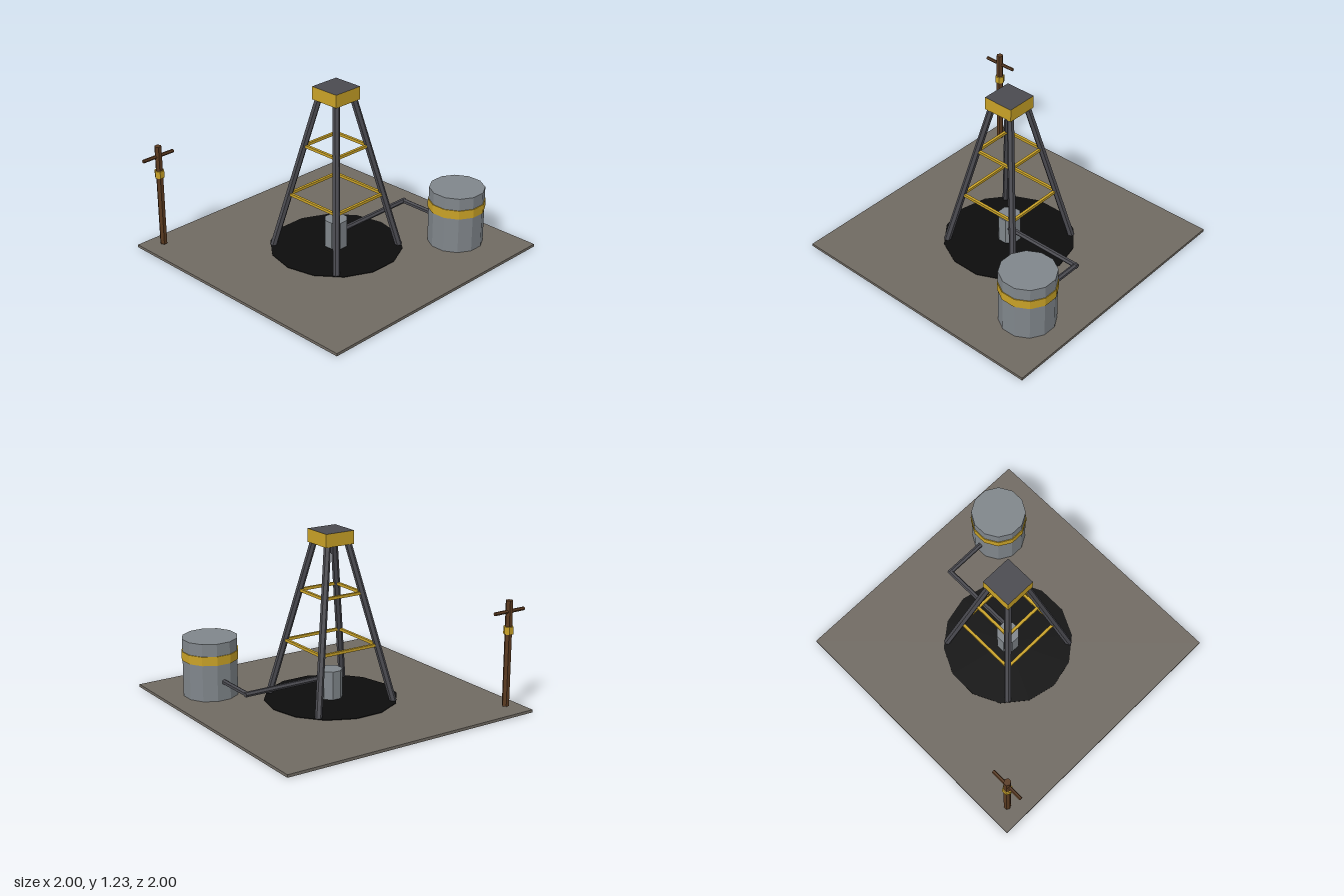
import * as THREE from 'three';

const paint = (name, color) => {
  const m = new THREE.MeshStandardMaterial({ color });
  m.name = name;
  m.flatShading = true;
  return m;
};

export function createModel() {
  const dirt = paint('dirt', 0x706a62);
  const oil = paint('oil black', 0x0c0c0c);
  const steel = paint('dark steel', 0x4a4a50);
  const metal = paint('grey metal', 0x80868b);
  const gold = paint('safety yellow', 0xc9a227);
  const wood = paint('brown wood', 0x5a3a20);

  const model = new THREE.Group();
  model.name = 'oilDerrickSite';

  const add = (name, geometry, material, x = 0, y = 0, z = 0, parent = model) => {
    const mesh = new THREE.Mesh(geometry, material);
    mesh.name = name;
    mesh.position.set(x, y, z);
    parent.add(mesh);
    return mesh;
  };

  // Upright prism between two heights, turned so a flat side faces the front
  const prism = (name, r, y0, y1, sides, material, x, z, parent) => {
    const g = new THREE.CylinderGeometry(r, r, y1 - y0, sides).rotateY(Math.PI / sides);
    return add(name, g, material, x, (y0 + y1) / 2, z, parent);
  };

  // Round bar between two points
  const bar = (name, a, b, r, material, parent, sides = 6) => {
    const from = new THREE.Vector3(...a), to = new THREE.Vector3(...b);
    const dir = to.clone().sub(from);
    const mesh = add(name, new THREE.CylinderGeometry(r, r, dir.length(), sides), material, 0, 0, 0, parent);
    mesh.position.copy(from).add(to).multiplyScalar(0.5);
    mesh.quaternion.setFromUnitVectors(new THREE.Vector3(0, 1, 0), dir.normalize());
    return mesh;
  };

  const group = (name) => {
    const g = new THREE.Group();
    g.name = name;
    model.add(g);
    return g;
  };

  // Ground slab and oil pool
  add('ground', new THREE.BoxGeometry(2, 0.02, 2), dirt, 0, 0.01, 0);
  add('oilPool', new THREE.CylinderGeometry(0.475, 0.475, 0.006, 14).rotateY(Math.PI / 2), oil, 0, 0.021, 0);

  // Derrick: four leaning legs, two rings of rails, cap
  const derrick = group('derrick');
  const footY = 0.02, topY = 1.15, foot = 0.315, top = 0.083;
  for (const sx of [-1, 1]) {
    for (const sz of [-1, 1]) {
      bar('leg', [sx * foot, footY, sz * foot], [sx * top, topY, sz * top], 0.025, steel, derrick);
    }
  }
  for (const y of [0.425, 0.795]) {
    const s = foot + (top - foot) * (y - footY) / (topY - footY);
    for (const side of [-1, 1]) {
      add('railAcross', new THREE.BoxGeometry(2 * s, 0.02, 0.02), gold, 0, y, side * s, derrick);
      add('railAlong', new THREE.BoxGeometry(0.02, 0.02, 2 * s), gold, side * s, y, 0, derrick);
    }
  }
  add('cap', new THREE.BoxGeometry(0.23, 0.094, 0.23), [gold, gold, steel, gold, gold, gold], 0, 1.185, 0, derrick);

  // Wellhead
  prism('wellhead', 0.084, 0.02, 0.23, 8, metal, 0, 0);

  // Storage tank with band
  const tank = group('tank');
  prism('tankBody', 0.199, 0.02, 0.44, 12, metal, 0.657, 0.553, tank);
  prism('tankBand', 0.205, 0.285, 0.35, 12, gold, 0.657, 0.553, tank);

  // Elbowed pipe from wellhead to tank
  const pipe = group('pipe');
  bar('pipeFromWell', [0.04, 0.155, 0.05], [0.67, 0.155, 0.05], 0.019, steel, pipe);
  bar('pipeToTank', [0.655, 0.155, 0.04], [0.655, 0.155, 0.38], 0.019, steel, pipe);

  // Utility pole with crossarm and band
  const pole = group('utilityPole');
  prism('post', 0.026, 0.037, 0.793, 6, wood, -0.87, -0.867, pole);
  prism('poleBand', 0.036, 0.557, 0.61, 6, gold, -0.87, -0.867, pole);
  bar('crossarm', [-1, 0.716, -0.87], [-0.74, 0.716, -0.87], 0.013, wood, pole);

  return model;
}
